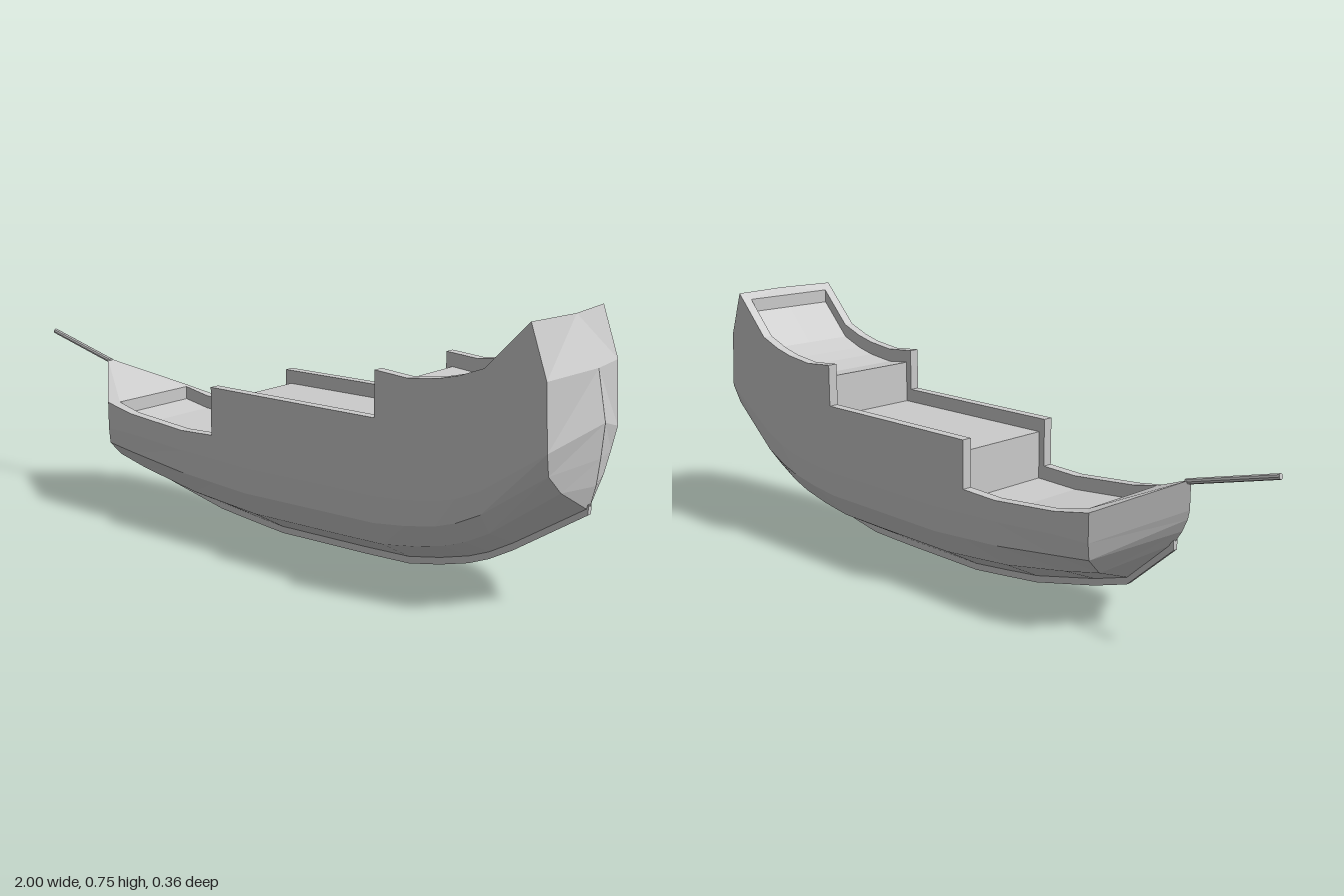
import * as THREE from 'three';

const material = new THREE.MeshStandardMaterial({ color: 0xcccccc, flatShading: true, side: THREE.DoubleSide });

// Stations from bow to stern: x, keel height, section height factor, width factor, rail height.
// A repeated x is a step in the rail and deck.
const stations = [
  [-0.56, 0.125, 0.62, 0.95, 0.34],
  [-0.45, 0.092, 0.78, 1, 0.322],
  [-0.24, 0.045, 0.93, 1, 0.305],
  [-0.12, 0.032, 0.97, 1, 0.31],
  [-0.12, 0.032, 0.97, 1, 0.45],
  [0, 0.02, 1, 1, 0.45],
  [0.3, 0.025, 1, 1, 0.45],
  [0.45, 0.03, 0.98, 1, 0.45],
  [0.45, 0.03, 0.98, 1, 0.575],
  [0.55, 0.05, 0.93, 1, 0.567],
  [0.64, 0.075, 0.88, 1, 0.578],
  [0.7, 0.1, 0.85, 1, 0.593],
  [0.77, 0.14, 0.82, 1, 0.62],
];
const sectionY = [0, 0.068, 0.14, 0.215];
const sectionZ = [0.008, 0.13, 0.175, 0.18];
const deckDrop = 0.04, railInnerZ = 0.15;

// Half section: four hull points, wall middle, outer rail, inner rail, deck edge, deck centre
function section([x, keel, h, w, rail], i) {
  const pts = sectionY.map((y, k) => [x, keel + y * h, k ? sectionZ[k] * w : sectionZ[k]]);
  const step = i > 0 && [x, stations[i + 1]?.[0]].some((v, k) => k ? v === x : stations[i - 1][0] === x);
  const innerX = i === 0 ? x + 0.025 : x;
  const deckX = step ? x + 0.02 : innerX;
  const innerZ = railInnerZ * (i === 0 ? 0.97 : 1);
  pts.push([x, (pts[3][1] + rail) / 2, 0.18 * w], [x, rail, 0.18 * w], [innerX, rail, innerZ],
    [deckX, rail - deckDrop, innerZ], [deckX, rail - deckDrop, 0]);
  return pts;
}

// Closing row whose last points run along the top of the inner end wall
function endWall(row) {
  const inner = row[6];
  return [...row.slice(0, 7), inner, [inner[0], inner[1], 0]];
}

// Skin between rows of points, mirrored across z = 0
function mirroredSkin(rows) {
  const out = [];
  const tri = (a, b, c) => {
    const [A, B, C] = [a, b, c].map((p) => new THREE.Vector3(...p));
    if (B.clone().sub(A).cross(C.clone().sub(A)).length() < 1e-7) return;
    out.push(...a, ...b, ...c);
    for (const p of [a, c, b]) out.push(p[0], p[1], -p[2]);
  };
  for (let i = 0; i < rows.length - 1; i++) {
    for (let j = 0; j < rows[i].length - 1; j++) {
      const [a, b, c, d] = [rows[i][j], rows[i + 1][j], rows[i + 1][j + 1], rows[i][j + 1]];
      tri(a, b, c);
      tri(a, c, d);
    }
  }
  const g = new THREE.BufferGeometry();
  g.setAttribute('position', new THREE.Float32BufferAttribute(out, 3));
  g.computeVertexNormals();
  return g;
}

export function createModel() {
  const group = new THREE.Group();
  const add = (name, geometry) => {
    const mesh = new THREE.Mesh(geometry, material);
    mesh.name = name;
    group.add(mesh);
    return mesh;
  };

  // Hull with rail and stepped deck, from the stem to the ridge of the transom
  const tip = [-0.745, 0.43, 0];
  const stem = [[-0.7, 0.25, 0], [-0.725, 0.29, 0], [-0.74, 0.325, 0], [-0.745, 0.35, 0],
    [-0.745, 0.39, 0], tip, tip, tip, tip];
  const body = stations.map(section);
  const sternEdge = [[0.967, 0.27, 0.008], [0.95, 0.33, 0.11], [0.942, 0.38, 0.16], [0.947, 0.44, 0.18],
    [0.937, 0.61, 0.18], [0.89, 0.745, 0.18], [0.87, 0.725, railInnerZ], [0.87, 0.685, railInnerZ], [0.87, 0.685, 0]];
  const top = [0.91, 0.745, 0];
  const ridge = [[0.97, 0.265, 0], [0.985, 0.33, 0], [0.993, 0.4, 0], [1, 0.49, 0],
    [0.975, 0.62, 0], top, top, top, top];
  add('hull', mirroredSkin([stem, endWall(body[0]), ...body, sternEdge, endWall(sternEdge), ridge]));

  // Thin keel following the bottom of the hull
  const line = [[-0.705, 0.255], ...stations.map((s) => [s[0], s[1]]), [0.972, 0.275]]
    .filter((p, i, all) => !i || p[0] !== all[i - 1][0]);
  const lower = line.map(([x, y]) => new THREE.Vector2(x, y - 0.02));
  const upper = line.map(([x, y]) => new THREE.Vector2(x, y + 0.008)).reverse();
  const keel = new THREE.ExtrudeGeometry(new THREE.Shape([...lower, ...upper]), { depth: 0.016, bevelEnabled: false });
  add('keel', keel.translate(0, 0, -0.008));

  // Bowsprit
  const from = new THREE.Vector3(-0.73, 0.422, 0), to = new THREE.Vector3(-0.998, 0.49, 0);
  const dir = to.clone().sub(from);
  const sprit = add('bowsprit', new THREE.CylinderGeometry(0.008, 0.008, dir.length(), 8));
  sprit.position.copy(from).add(to).multiplyScalar(0.5);
  sprit.quaternion.setFromUnitVectors(new THREE.Vector3(0, 1, 0), dir.normalize());

  return group;
}
